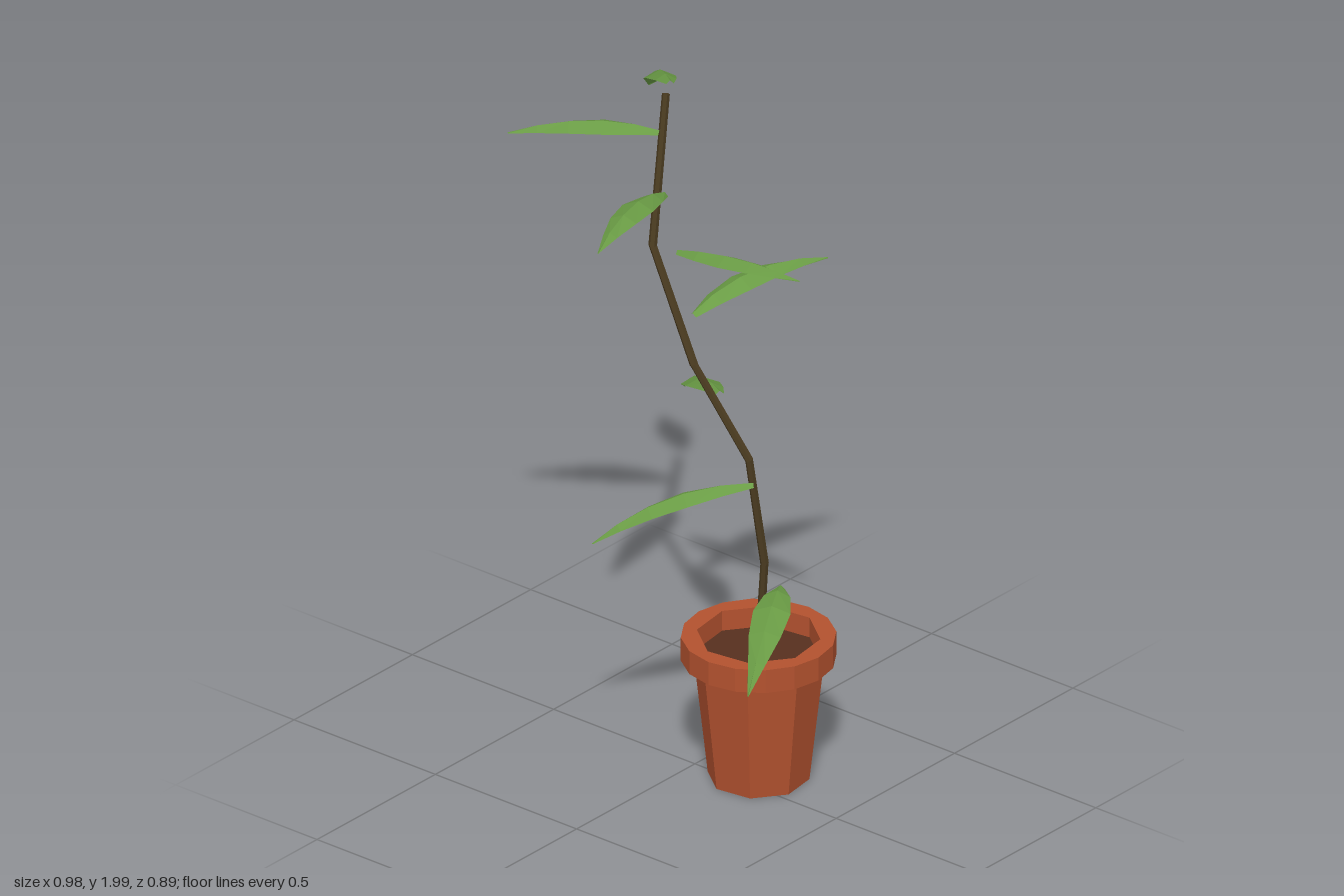
import * as THREE from 'three';

const mat = (color) => new THREE.MeshStandardMaterial({ color, flatShading: true, side: THREE.DoubleSide });
const POT = new THREE.Vector3(0.175, 0, -0.06);
const TURN = -14.5 * Math.PI / 180;

// Ring of points for the pot rim outline
function ring(radius, sides, start) {
  return Array.from({ length: sides }, (_, i) => {
    const a = start + i / sides * Math.PI * 2;
    return new THREE.Vector2(Math.sin(a) * radius, -Math.cos(a) * radius);
  });
}

// Folded leaf: a midrib curve with both edges drooping slightly below it
function leafGeometry(base, mid, tip, halfWidth) {
  const b = new THREE.Vector3(...base), m = new THREE.Vector3(...mid), e = new THREE.Vector3(...tip);
  const control = m.clone().multiplyScalar(2).addScaledVector(b, -0.5).addScaledVector(e, -0.5);
  const rib = new THREE.QuadraticBezierCurve3(b, control, e);
  const side = new THREE.Vector3(e.z - b.z, 0, b.x - e.x).normalize();
  const stations = [[0, 0.25], [0.18, 0.7], [0.4, 1], [0.62, 0.85], [0.82, 0.45], [1, 0.02]];
  const pos = [], index = [];
  stations.forEach(([t, w], i) => {
    const p = rib.getPoint(t);
    const up = new THREE.Vector3().crossVectors(rib.getTangent(t), side).normalize();
    for (const s of [-1, 0, 1]) {
      const q = p.clone().addScaledVector(side, s * w * halfWidth);
      q.addScaledVector(up, (s ? -0.011 : 0.009) * Math.sqrt(w));
      pos.push(q.x, q.y, q.z);
    }
    if (i) for (const k of [0, 1]) {
      const a = (i - 1) * 3 + k, c = a + 3;
      index.push(a, a + 1, c + 1, a, c + 1, c);
    }
  });
  const g = new THREE.BufferGeometry();
  g.setAttribute('position', new THREE.Float32BufferAttribute(pos, 3));
  g.setIndex(index);
  // Make the faces look upwards
  g.computeVertexNormals();
  if (g.attributes.normal.getY(7) < 0) {
    g.setIndex(index.slice().reverse());
    g.computeVertexNormals();
  }
  return g;
}

export function createModel() {
  const model = new THREE.Group();
  const clay = mat(0xb3522f), earth = mat(0x57301f), bark = mat(0x4a3b20), green = mat(0x6a9c45);
  const add = (parent, name, geometry, material) => {
    const mesh = new THREE.Mesh(geometry, material);
    mesh.name = name;
    parent.add(mesh);
    return mesh;
  };

  // Pot: tapered body, overhanging rim and soil
  const pot = new THREE.Group();
  pot.name = 'pot';
  pot.position.copy(POT);
  model.add(pot);
  add(pot, 'potBody', new THREE.CylinderGeometry(0.18, 0.14, 0.36, 8, 1, false, TURN), clay).position.y = 0.18;
  const outline = new THREE.Shape(ring(0.212, 16, 0));
  outline.holes.push(new THREE.Path(ring(0.17, 8, TURN)));
  const rim = new THREE.ExtrudeGeometry(outline, { depth: 0.07, bevelEnabled: false });
  rim.rotateX(-Math.PI / 2);
  add(pot, 'potRim', rim, clay).position.y = 0.36;
  add(pot, 'soil', new THREE.CylinderGeometry(0.171, 0.171, 0.01, 8, 1, false, TURN), earth).position.y = 0.365;

  // Stem: straight segments joined at kinks
  const points = [
    [0.178, 0.36, -0.056], [0.2, 0.66, -0.055], [0.175, 0.98, -0.02],
    [0.025, 1.245, 0.035], [-0.12, 1.56, 0.035], [-0.155, 1.97, -0.062],
  ].map((p) => new THREE.Vector3(...p));
  const stem = new THREE.Group();
  stem.name = 'stem';
  model.add(stem);
  for (let i = 1; i < points.length; i++) {
    const [a, b] = [points[i - 1], points[i]];
    const dir = b.clone().sub(a);
    const seg = add(stem, 'stemSegment', new THREE.CylinderGeometry(0.011, 0.012, dir.length() + 0.004, 6), bark);
    seg.position.lerpVectors(a, b, 0.5);
    seg.quaternion.setFromUnitVectors(new THREE.Vector3(0, 1, 0), dir.normalize());
  }

  // Leaves: base, middle, tip and half width, from the bottom up
  const leaves = [
    [[0.265, 0.612, -0.045], [0.37, 0.618, 0.13], [0.488, 0.51, 0.36], 0.052],
    [[0.19, 0.91, -0.02], [0.03, 0.87, 0.15], [-0.112, 0.755, 0.3], 0.045],
    [[0.075, 1.155, -0.015], [-0.1, 1.09, -0.135], [-0.25, 0.97, -0.257], 0.048],
    [[-0.015, 1.365, -0.01], [0.025, 1.42, -0.22], [0.1, 1.405, -0.443], 0.047],
    [[-0.053, 1.553, 0.01], [0.16, 1.592, 0.01], [0.38, 1.607, 0.012], 0.038],
    [[-0.082, 1.728, 0.03], [-0.032, 1.775, 0.23], [0.026, 1.745, 0.442], 0.046],
    [[-0.142, 1.878, -0.018], [-0.31, 1.888, 0.083], [-0.49, 1.848, 0.206], 0.045],
    [[-0.172, 1.988, -0.1], [-0.305, 1.928, -0.21], [-0.44, 1.798, -0.331], 0.042],
  ];
  for (const l of leaves) add(model, 'leaf', leafGeometry(...l), green);

  return model;
}
